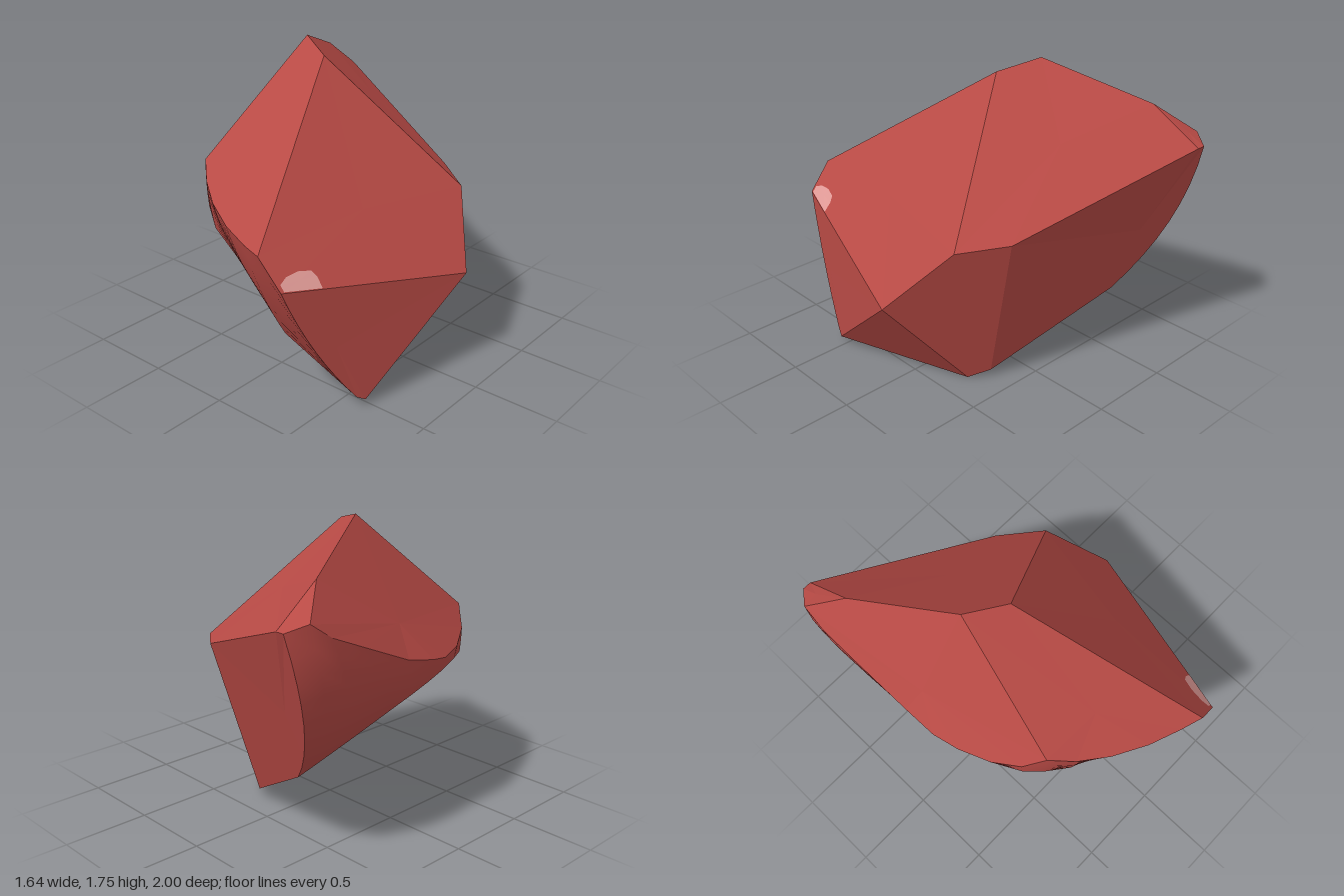
import * as THREE from 'three';

const V = (x, y, z) => new THREE.Vector3(x, y, z);
const CENTER = V(0, 0.85, 0);

// A planar facet: a fan around its middle, always turned outward
function facetGeometry(points, lift = 0) {
  const mid = points.reduce((s, p) => s.add(p), V(0, 0, 0)).divideScalar(points.length);
  const normal = V(0, 0, 0);
  points.forEach((p, i) => {
    const q = points[(i + 1) % points.length];
    normal.add(p.clone().sub(mid).cross(q.clone().sub(mid)));
  });
  normal.normalize();
  let ring = points;
  if (normal.dot(mid.clone().sub(CENTER)) < 0) {
    ring = [...points].reverse();
    normal.negate();
  }
  const tris = [];
  ring.forEach((p, i) => tris.push(mid, p, ring[(i + 1) % ring.length]));
  const geo = new THREE.BufferGeometry().setFromPoints(
    tris.map((p) => p.clone().addScaledVector(normal, lift)));
  geo.computeVertexNormals();
  return geo;
}

export function createModel() {
  const group = new THREE.Group();
  const stone = new THREE.MeshStandardMaterial({ color: 0xb84a45 });
  stone.name = 'red stone';
  const pale = new THREE.MeshStandardMaterial({ color: 0xe09a96 });
  pale.name = 'pale pink wear';

  const add = (name, geo, mat = stone) => {
    const mesh = new THREE.Mesh(geo, mat);
    mesh.name = name;
    group.add(mesh);
  };

  // Corners of the cut stone
  const A = V(-0.35, 1.75, -0.15), B = V(-0.12, 1.69, -0.03);
  const H = V(0.57, 0.96, -0.43), N = V(0.33, 0.99, -0.61);
  const E = V(0.82, 0.6, -0.13), F = V(0.64, 0.04, 0.53);
  const G = V(0.33, 0, -0.27), R = V(0.23, 0.05, -0.36);
  const I = V(-0.65, 1.55, -0.71), P = V(-0.69, 1.36, -1);

  // Rounded skin: pairs of upper rim and lower rim points, right round to back
  const rims = [
    [0.47, 0.81, 0.99, 0.62, 0.07, 0.58],
    [0.33, 0.97, 1, 0.5, 0.175, 0.63],
    [0.2, 0.975, 0.96, 0.25, 0.39, 0.73],
    [0, 1, 0.89, 0.05, 0.525, 0.69],
    [-0.2, 1.04, 0.79, -0.18, 0.68, 0.65],
    [-0.36, 1.09, 0.68, -0.35, 0.8, 0.64],
    [-0.48, 1.16, 0.57, -0.48, 0.87, 0.56],
    [-0.58, 1.055, 0.48, -0.57, 0.91, 0.48],
    [-0.67, 1, 0.33, -0.65, 0.92, 0.33],
    [-0.74, 0.99, 0.15, -0.71, 0.91, 0.17],
    [-0.78, 1.02, 0, -0.73, 0.88, 0.03],
    [-0.79, 1.065, -0.2, -0.715, 0.83, -0.09],
    [-0.81, 1.215, -0.55, -0.68, 0.77, -0.2],
    [-0.82, 1.31, -0.77, -0.6, 0.64, -0.42],
    [-0.81, 1.4, -0.9, -0.5, 0.51, -0.59],
    [-0.74, 1.36, -1, -0.45, 0.45, -0.66],
  ];
  const upper = rims.map((r) => V(r[0], r[1], r[2]));
  const lower = rims.map((r) => V(r[3], r[4], r[5]));

  // Each column bows outward between its two rim points
  const STEPS = 8, last = rims.length - 1;
  const bowFront = V(-0.24, -0.49, 0.84), bowBack = V(-0.925, -0.35, -0.147);
  const columns = upper.map((u, i) => {
    const s = i / last, w = lower[i];
    const bow = bowFront.clone().lerp(bowBack, s).normalize();
    const depth = (0.045 + 0.07 * s) * u.distanceToSquared(w);
    return Array.from({ length: STEPS + 1 }, (_, j) => {
      const t = j / STEPS;
      return u.clone().lerp(w, t).addScaledVector(bow, depth * 4 * t * (1 - t));
    });
  });
  const skin = new THREE.BufferGeometry().setFromPoints(columns.flat());
  const index = [];
  for (let i = 0; i < last; i++) {
    for (let j = 0; j < STEPS; j++) {
      const a = i * (STEPS + 1) + j, c = a + STEPS + 1;
      index.push(a, c, a + 1, a + 1, c, c + 1);
    }
  }
  skin.setIndex(index);
  skin.computeVertexNormals();
  add('roundedSkin', skin);

  // Flat broken facets
  const facets = {
    frontUpperFacet: [A, B, ...upper.slice(1, 7)],
    leftFacet: [I, A, ...upper.slice(6, 15)],
    rightUpperFacet: [B, H, E, upper[0], upper[1]],
    rightLowerFacet: [E, F, ...[...columns[0]].reverse()],
    lowerRightFacet: [E, G, F],
    topBackFacet: [A, B, H, N, P, I],
    backTipFacet: [I, upper[14], upper[15], P],
    backFacet: [N, P, ...columns[last], R],
    backRightFacet: [E, H, N, R, G],
    undersideFacet: [...lower, R, G, F],
  };
  for (const [name, points] of Object.entries(facets)) add(name, facetGeometry(points));

  // Pale worn patches lying on the facets
  add('rightWearPatch', facetGeometry([
    V(0.471, 0.81, 0.97), V(0.446, 0.84, 0.97), V(0.437, 0.86, 0.92), V(0.445, 0.865, 0.84),
    V(0.469, 0.85, 0.77), V(0.496, 0.82, 0.755), V(0.538, 0.77, 0.76),
  ], 0.004), pale);
  add('undersideWearPatch', facetGeometry([
    V(0, 0.44, 0.32), V(0.02, 0.47, 0.46), V(0.1, 0.45, 0.57), V(0.18, 0.41, 0.63),
    V(0.25, 0.39, 0.73), V(0.5, 0.175, 0.63), V(0.62, 0.07, 0.58), V(0.57, 0.08, 0.49),
    V(0.4, 0.18, 0.42), V(0.2, 0.29, 0.31), V(0.05, 0.4, 0.31),
  ], 0.005), pale);

  return group;
}
